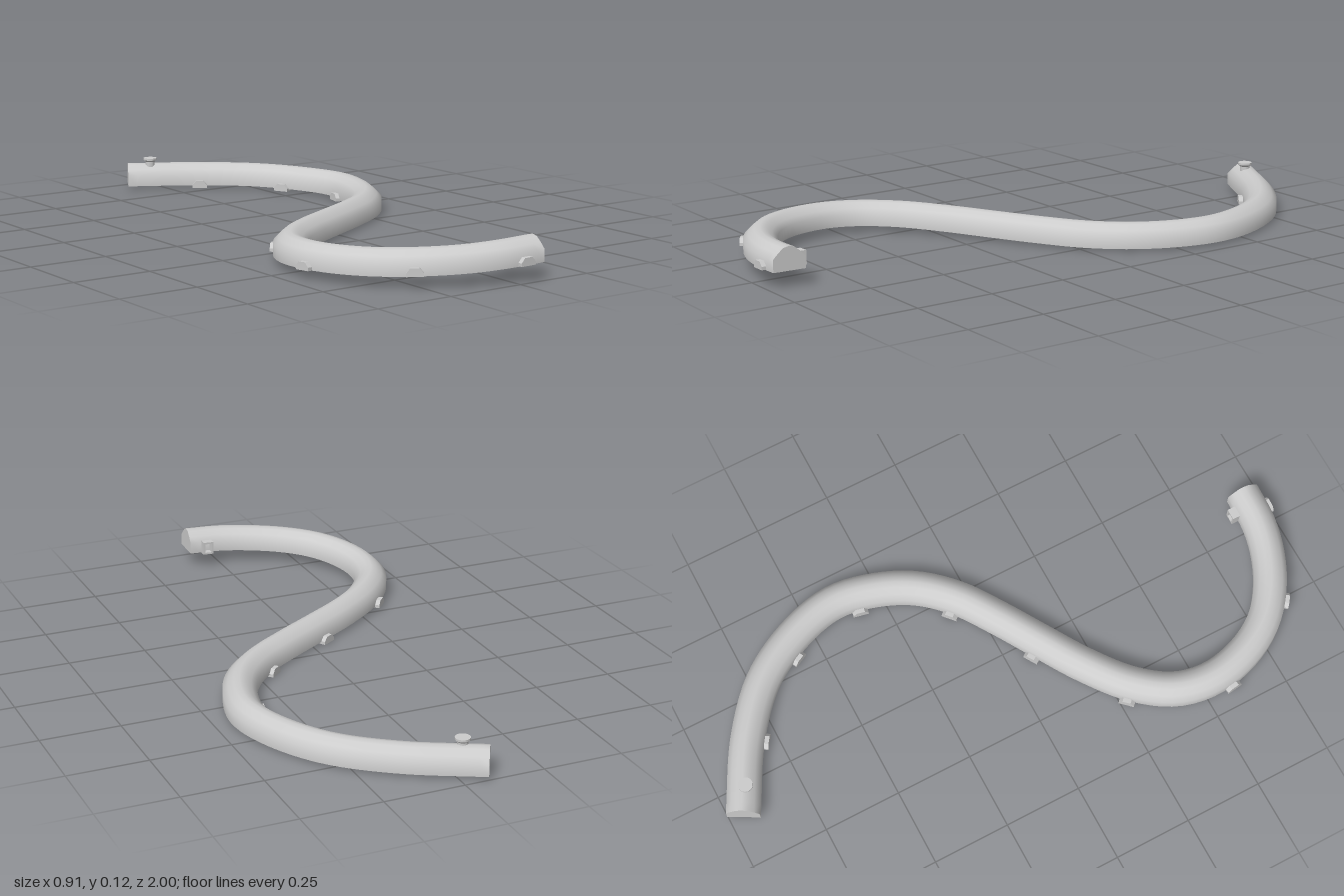
import * as THREE from 'three';
import { toCreasedNormals } from 'three/addons/utils/BufferGeometryUtils.js';

const material = new THREE.MeshStandardMaterial({ color: 0xcccccc });
const shellMaterial = new THREE.MeshStandardMaterial({ color: 0xcccccc, side: THREE.DoubleSide });

// Centre line of the rail's underside: x, y, z
const path = new THREE.CatmullRomCurve3([
  [-0.098, 0.012, -0.957], [0.12, 0.011, -0.836], [0.274, 0.01, -0.704],
  [0.366, 0.009, -0.545], [0.402, 0.009, -0.397], [0.379, 0.008, -0.265],
  [0.322, 0.008, -0.143], [0.23, 0.008, -0.042], [0.108, 0.009, 0.042],
  [-0.024, 0.011, 0.122], [-0.16, 0.014, 0.206], [-0.288, 0.018, 0.307],
  [-0.368, 0.021, 0.418], [-0.392, 0.025, 0.534], [-0.368, 0.029, 0.661],
  [-0.31, 0.033, 0.767], [-0.225, 0.037, 0.843], [-0.119, 0.041, 0.898],
  [-0.013, 0.046, 0.926], [0.105, 0.05, 0.932],
].map((p) => new THREE.Vector3(...p)));

// Arched cross-section, open underneath: sideways, up
const half = [[0.052, 0], [0.052, 0.038], [0.036, 0.054], [0.018, 0.069]];
const profile = [...half, [0, 0.073], ...half.map(([u, v]) => [-u, v]).reverse()];

// Position and axes (along, up, outward) at a point of the path
function frameAt(u) {
  const along = path.getTangentAt(u);
  const out = along.clone().cross(new THREE.Vector3(0, 1, 0)).normalize();
  const up = out.clone().cross(along);
  return { pos: path.getPointAt(u), along, up, out };
}

function railGeometry(steps) {
  const n = profile.length, verts = [], index = [];
  for (let i = 0; i <= steps; i++) {
    const f = frameAt(i / steps);
    for (const [u, v] of profile) {
      const p = f.pos.clone().addScaledVector(f.out, u).addScaledVector(f.up, v);
      verts.push(p.x, p.y, p.z);
    }
  }
  for (let i = 0; i < steps; i++) {
    for (let j = 0; j < n - 1; j++) {
      const a = i * n + j, b = a + 1, c = b + n, d = a + n;
      index.push(a, d, b, b, d, c);
    }
  }
  // End caps
  const e = steps * n;
  for (let j = 1; j < n - 1; j++) index.push(0, j, j + 1, e, e + j + 1, e + j);
  const g = new THREE.BufferGeometry();
  g.setAttribute('position', new THREE.Float32BufferAttribute(verts, 3));
  g.setIndex(index);
  return toCreasedNormals(g, 0.95);
}

// Path parameter closest to a ground position
function nearest(x, z) {
  let best = 0, bestD = Infinity;
  for (let i = 0; i <= 400; i++) {
    const p = path.getPointAt(i / 400);
    const d = Math.hypot(p.x - x, p.z - z);
    if (d < bestD) { bestD = d; best = i / 400; }
  }
  return best;
}

// Put a part on the rail: offsets outward and upward from the centre line
function place(mesh, x, z, outward, upward, flip = false) {
  const f = frameAt(nearest(x, z));
  mesh.position.copy(f.pos).addScaledVector(f.out, outward).addScaledVector(f.up, upward);
  const s = flip ? -1 : 1;
  mesh.quaternion.setFromRotationMatrix(new THREE.Matrix4().makeBasis(
    f.along.clone().multiplyScalar(s), f.up, f.out.clone().multiplyScalar(s)));
  return mesh;
}

function named(geometry, name, mat = material) {
  const mesh = new THREE.Mesh(geometry, mat);
  mesh.name = name;
  return mesh;
}

const points = (list) => list.map((p) => new THREE.Vector2(...p));

export function createModel() {
  const model = new THREE.Group();
  model.name = 'curvedRail';
  model.add(named(railGeometry(96), 'rail', shellMaterial));

  // Half-octagon tabs through the outer wall along one side
  const tab = new THREE.Shape(points([[-0.025, 0], [0.025, 0], [0.025, 0.01], [0.013, 0.024],
    [-0.013, 0.024], [-0.025, 0.01]]));
  const tabGeo = new THREE.ExtrudeGeometry(tab, { depth: 0.028, bevelEnabled: false });
  const tabs = [
    [0.12, -0.836, -0.007], [0.345, -0.61, -0.007], [0.39, -0.32, -0.007],
    [0.23, -0.042, -0.007], [-0.024, 0.122, -0.007], [-0.288, 0.307, -0.004],
    [-0.392, 0.58, 0], [-0.245, 0.83, 0.002], [0.035, 0.929, 0.002],
  ];
  for (const [x, z, lift] of tabs) model.add(place(named(tabGeo, 'sideTab'), x, z, 0.038, lift));

  // Square loop on the inner side of the raised end
  const loop = new THREE.Shape(points([[-0.018, 0], [0.018, 0], [0.018, 0.043], [-0.018, 0.043]]));
  loop.holes.push(new THREE.Path(points(
    [[-0.012, 0.006], [-0.012, 0.037], [0.012, 0.037], [0.012, 0.006]])));
  const loopGeo = new THREE.ExtrudeGeometry(loop, { depth: 0.026, bevelEnabled: false });
  model.add(place(named(loopGeo, 'endLoop'), 0.047, 0.929, -0.05, 0, true));

  // Flared knob on top of the low end
  const knob = new THREE.LatheGeometry(points([[0, 0], [0.016, 0], [0.016, 0.018],
    [0.023, 0.024], [0.023, 0.031], [0, 0.031]]), 20);
  model.add(place(named(toCreasedNormals(knob, 0.5), 'topKnob'), -0.032, -0.918, 0.011, 0.061));

  return model;
}
